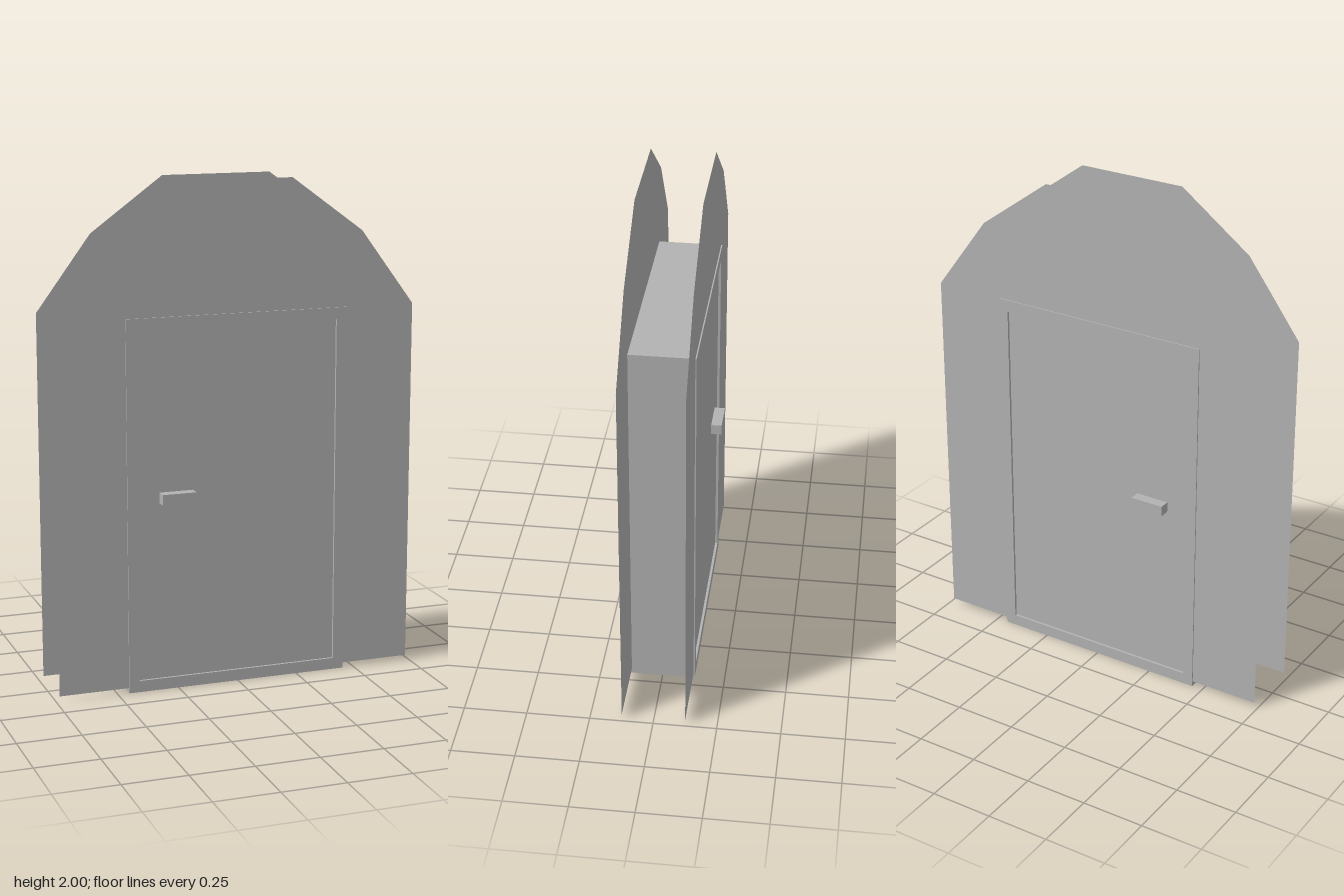
import * as THREE from 'three';

export function createModel() {
  const group = new THREE.Group();
  const stone = new THREE.MeshStandardMaterial({ color: 0xb2b2b2, side: THREE.DoubleSide });
  stone.name = 'plain grey';

  const add = (name, geometry, x, y, z) => {
    const mesh = new THREE.Mesh(geometry, stone);
    mesh.name = name;
    mesh.position.set(x, y, z);
    group.add(mesh);
    return mesh;
  };
  const rect = (path, x0, y0, x1, y1) =>
    path.moveTo(x0, y0).lineTo(x1, y0).lineTo(x1, y1).lineTo(x0, y1).closePath();

  // Flat arched wall sheet with a doorway notch open at the bottom
  const half = [[0.453, 0.02], [0.735, 0.02], [0.735, 1.487], [0.515, 1.785], [0.222, 2]];
  const notch = [[-0.453, 1.487], [0.453, 1.487]];
  const outline = [...half, ...half.map(([x, y]) => [-x, y]).reverse(), ...notch];
  const wall = new THREE.ShapeGeometry(
    new THREE.Shape(outline.map(([x, y]) => new THREE.Vector2(x, y))));

  // Deep door frame around the opening
  const frameShape = new THREE.Shape();
  rect(frameShape, -0.453, 0, 0.453, 1.487);
  const opening = new THREE.Path();
  rect(opening, -0.41, 0.046, 0.41, 1.44);
  frameShape.holes.push(opening);
  add('doorFrame', new THREE.ExtrudeGeometry(frameShape, { depth: 0.26, bevelEnabled: false }), 0, 0, -0.13);

  // Door slab, slightly recessed in the frame
  add('door', new THREE.BoxGeometry(0.82, 1.394, 0.24), 0, 0.743, 0);

  // A wall sheet and a handle on each face
  for (const [side, s] of [['front', 1], ['back', -1]]) {
    const sheet = add(side + 'Wall', wall, 0, 0, s * 0.125);
    if (s < 0) sheet.rotation.y = Math.PI;
    add(side + 'Handle', new THREE.BoxGeometry(0.137, 0.042, 0.044), -0.252, 0.779, s * 0.141);
  }
  return group;
}
